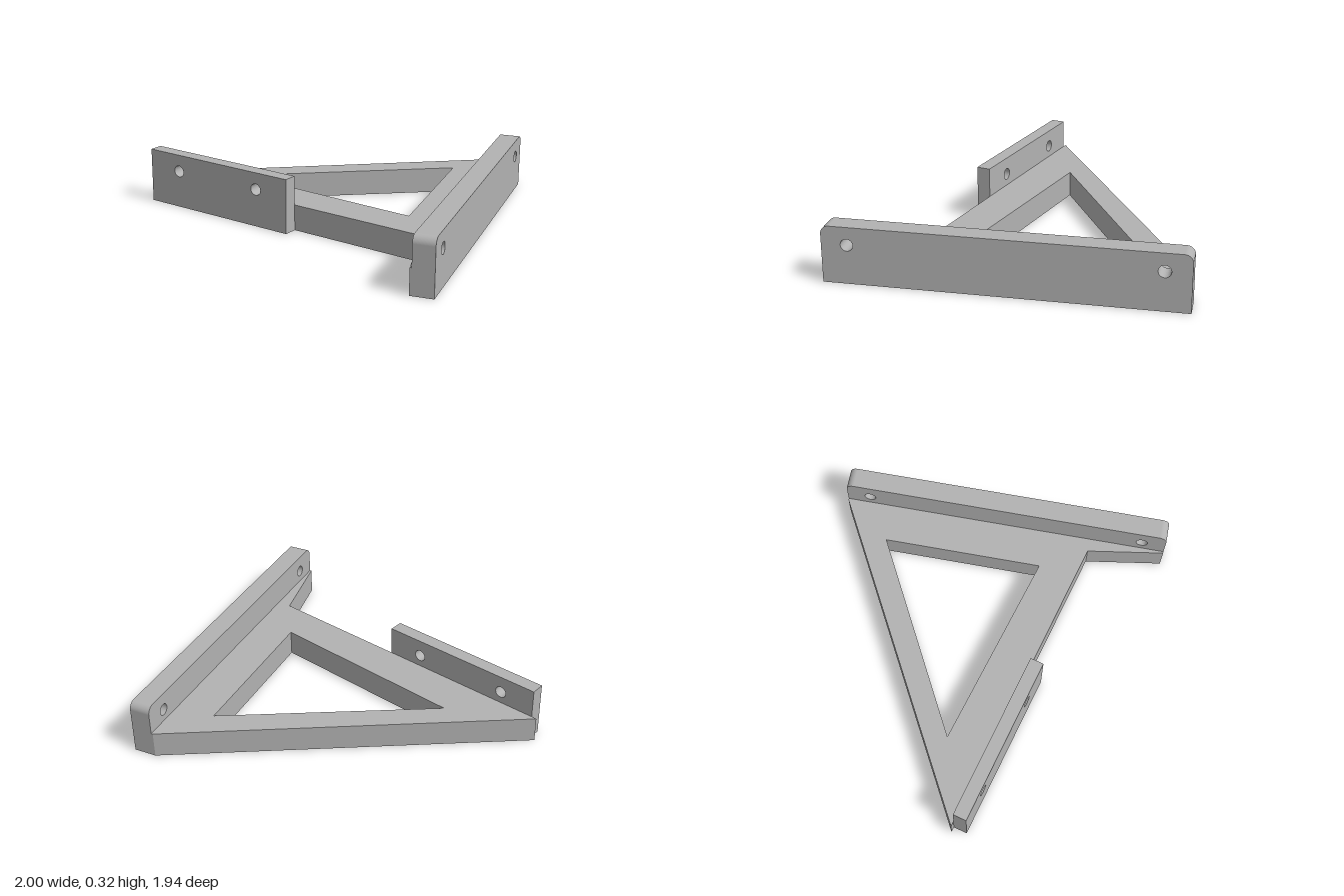
import * as THREE from 'three';

const FRAME_H = 0.15, PLATE_H = 0.32, HOLE_Y = 0.22, HOLE_R = 0.034;

// Upright mounting plate with rounded top corners and two screw holes
function plateGeometry(x0, x1, radius, holes, depth) {
  const s = new THREE.Shape();
  s.moveTo(x0, 0);
  s.lineTo(x1, 0);
  if (radius > 0) {
    s.lineTo(x1, PLATE_H - radius);
    s.absarc(x1 - radius, PLATE_H - radius, radius, 0, Math.PI / 2, false);
    s.lineTo(x0 + radius, PLATE_H);
    s.absarc(x0 + radius, PLATE_H - radius, radius, Math.PI / 2, Math.PI, false);
  } else {
    s.lineTo(x1, PLATE_H);
    s.lineTo(x0, PLATE_H);
  }
  s.closePath();
  for (const hx of holes) {
    s.holes.push(new THREE.Path().absarc(hx, HOLE_Y, HOLE_R, 0, Math.PI * 2, true));
  }
  return new THREE.ExtrudeGeometry(s, { depth, bevelEnabled: false, curveSegments: 16 });
}

// Closed outline from plan points (x, z)
const plan = (pts) => pts.map(([x, z]) => new THREE.Vector2(x, -z));

export function createModel() {
  const group = new THREE.Group();
  group.name = 'bracket';
  const grey = new THREE.MeshStandardMaterial({ color: 0xb2b2b2 });
  grey.name = 'grey';

  const add = (name, geometry) => {
    const mesh = new THREE.Mesh(geometry, grey);
    mesh.name = name;
    group.add(mesh);
    return mesh;
  };

  // Flat triangular frame with a triangular opening
  const outline = new THREE.Shape(plan([
    [-1, 0.035], [0.8, 0.52], [0.87, 0.968], [0.88, 0.968], [0.88, -0.968], [0.87, -0.968],
  ]));
  outline.holes.push(new THREE.Path(plan([[-0.495, -0.085], [0.65, -0.685], [0.65, 0.25]])));
  const frame = add('triangleFrame',
    new THREE.ExtrudeGeometry(outline, { depth: FRAME_H, bevelEnabled: false }));
  frame.rotation.x = -Math.PI / 2;

  // Long plate along the left side
  const longPlate = add('longPlate', plateGeometry(-0.968, 0.968, 0.045, [-0.828, 0.828], 0.12));
  longPlate.rotation.y = Math.PI / 2;
  longPlate.position.x = 0.88;

  // Short plate set along the slanted front edge
  const shortPlate = add('shortPlate', plateGeometry(0, 1.004, 0, [0.215, 0.789], 0.08));
  shortPlate.rotation.y = -Math.atan2(0.485, 1.8);
  shortPlate.position.set(-0.97, 0, 0.043);

  return group;
}
